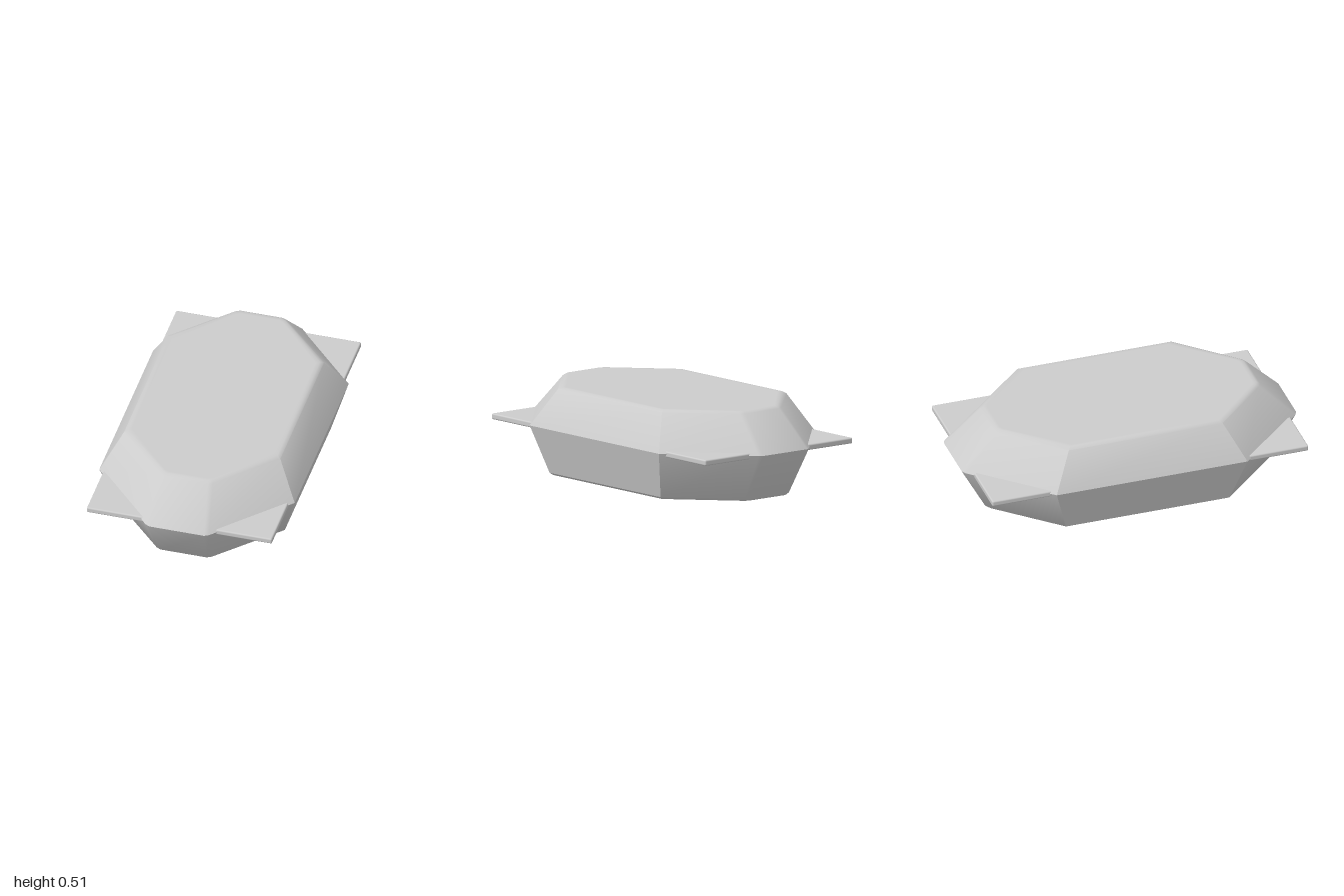
import * as THREE from 'three';
import { toCreasedNormals } from 'three/addons/utils/BufferGeometryUtils.js';
import { RoundedBoxGeometry } from 'three/addons/geometries/RoundedBoxGeometry.js';

// Long octagon outline; the corners at the narrow ends are slightly blunted
function outline(y, hx, cz, cx, hz) {
  const quarter = [[hx, cz], [cx + 0.012, hz - 0.014], [cx - 0.014, hz]];
  const mirror = (pts, sx, sz) => pts.map(([x, z]) => [x * sx, z * sz]);
  const back = [...quarter].reverse();
  return [
    ...quarter, ...mirror(back, -1, 1),
    ...mirror(quarter, -1, -1), ...mirror(back, 1, -1),
  ].map(([x, z]) => [x, y, z]);
}

// Skin stacked cross-sections (bottom to top) and close both ends
function loft(rings) {
  const n = rings[0].length;
  const pos = rings.flat(2);
  const index = [];
  for (let r = 0; r < rings.length - 1; r++) {
    for (let i = 0; i < n; i++) {
      const a = r * n + i, b = r * n + (i + 1) % n;
      index.push(a, a + n, b, b, a + n, b + n);
    }
  }
  const top = (rings.length - 1) * n;
  const c = rings.length * n;
  pos.push(0, rings[0][0][1], 0, 0, rings[rings.length - 1][0][1], 0);
  for (let i = 0; i < n; i++) {
    const j = (i + 1) % n;
    index.push(c, i, j, c + 1, top + j, top + i);
  }
  const g = new THREE.BufferGeometry();
  g.setAttribute('position', new THREE.Float32BufferAttribute(pos, 3));
  g.setIndex(index);
  return toCreasedNormals(g, 0.6);
}

export function createModel() {
  const model = new THREE.Group();
  const grey = new THREE.MeshStandardMaterial({ color: 0xcccccc });

  // Faceted body: narrow base, wide rim, smaller flat top with softened edges
  const body = new THREE.Mesh(loft([
    outline(0, 0.475, 0.48, 0.145, 0.835),
    outline(0.014, 0.495, 0.49, 0.15, 0.853),
    outline(0.285, 0.575, 0.57, 0.175, 1.0),
    outline(0.495, 0.46, 0.46, 0.14, 0.795),
    outline(0.507, 0.44, 0.445, 0.133, 0.775),
    outline(0.507, 0.42, 0.43, 0.128, 0.755),
  ]), grey);
  body.name = 'body';
  model.add(body);

  // Thin plate through the rim; only its four corners stick out
  const plate = new THREE.Mesh(new RoundedBoxGeometry(1.09, 0.034, 1.89, 2, 0.009), grey);
  plate.name = 'cornerPlate';
  plate.position.y = 0.281;
  model.add(plate);

  return model;
}
